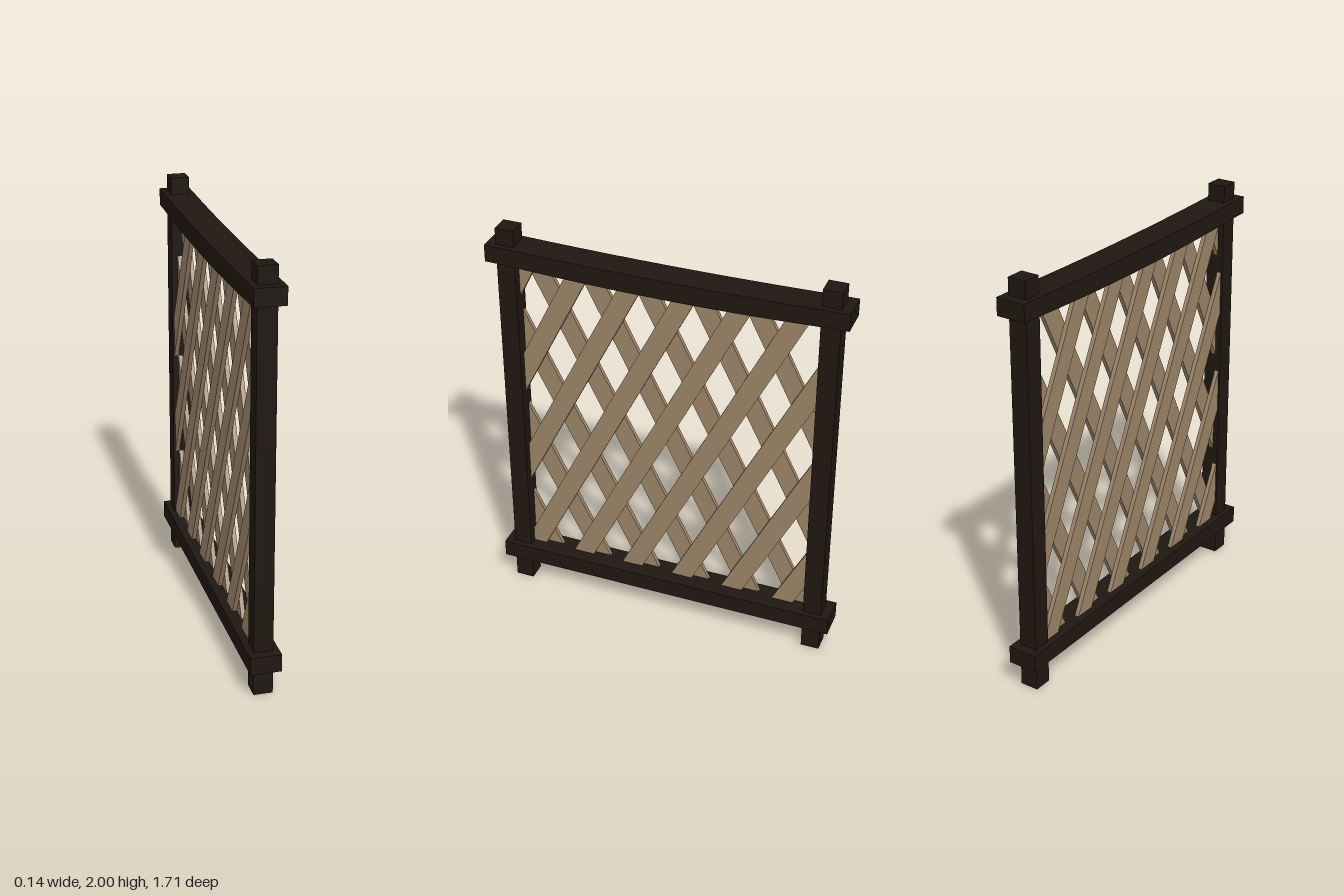
import * as THREE from 'three';

const dark = new THREE.MeshStandardMaterial({ color: 0x1f1711, flatShading: true });
const tan = new THREE.MeshStandardMaterial({ color: 0x9a8468, flatShading: true });

// Keep the part of a polygon where side * p[axis] <= side * limit
function clip(points, axis, limit, side) {
  const out = [];
  points.forEach((a, i) => {
    const b = points[(i + 1) % points.length];
    const da = side * (limit - a[axis]);
    const db = side * (limit - b[axis]);
    if (da >= 0) out.push(a);
    if (da * db < 0) out.push(a.clone().lerp(b, da / (da - db)));
  });
  return out;
}

export function createModel() {
  const model = new THREE.Group();

  function box(name, w, h, d, x, y, z, segments = 1) {
    const mesh = new THREE.Mesh(new THREE.BoxGeometry(w, h, d, 1, 1, segments), dark);
    mesh.name = name;
    mesh.position.set(x, y, z);
    model.add(mesh);
    return mesh;
  }

  // Posts
  box('frontPost', 0.09, 2, 0.09, 0, 1, 0.765);
  box('backPost', 0.09, 2, 0.09, 0, 1, -0.765);

  // Rails, the upper one sagging between the posts
  box('bottomRail', 0.145, 0.085, 1.71, 0, 0.173, 0);
  const rail = box('topRail', 0.145, 0.083, 1.71, 0, 1.878, 0, 20);
  const pos = rail.geometry.attributes.position;
  for (let i = 0; i < pos.count; i++) {
    const t = Math.min(1, Math.abs(pos.getZ(i)) / 0.8);
    const sag = pos.getY(i) > 0 ? 0.013 : 0.022;
    pos.setY(i, pos.getY(i) - sag * (1 - t * t));
  }
  rail.geometry.computeVertexNormals();

  // Lattice: two layers of slanted slats trimmed to the frame opening
  const lattice = new THREE.Group();
  lattice.name = 'lattice';
  lattice.rotation.y = Math.PI / 2;
  model.add(lattice);
  const left = -0.725, right = 0.725, bottom = 0.213, top = 1.815;
  const pitch = 0.2615, halfWidth = 0.053, thickness = 0.021, run = (top - bottom) / 2;

  function slatLayer(name, lean, start, depth) {
    for (let k = -7; k <= 7; k++) {
      const u = start + k * pitch;
      let points = [
        new THREE.Vector2(u - halfWidth, bottom),
        new THREE.Vector2(u + halfWidth, bottom),
        new THREE.Vector2(u + halfWidth + lean * run, top),
        new THREE.Vector2(u - halfWidth + lean * run, top),
      ];
      points = clip(clip(points, 'x', right, 1), 'x', left, -1);
      if (points.length < 3) continue;
      const geometry = new THREE.ExtrudeGeometry(new THREE.Shape(points), {
        depth: thickness, bevelEnabled: false,
      });
      const slat = new THREE.Mesh(geometry, tan);
      slat.name = name;
      slat.position.z = depth;
      lattice.add(slat);
    }
  }
  slatLayer('risingSlat', 1, -0.4456, -0.016);
  slatLayer('fallingSlat', -1, -0.622, -0.037);

  return model;
}
